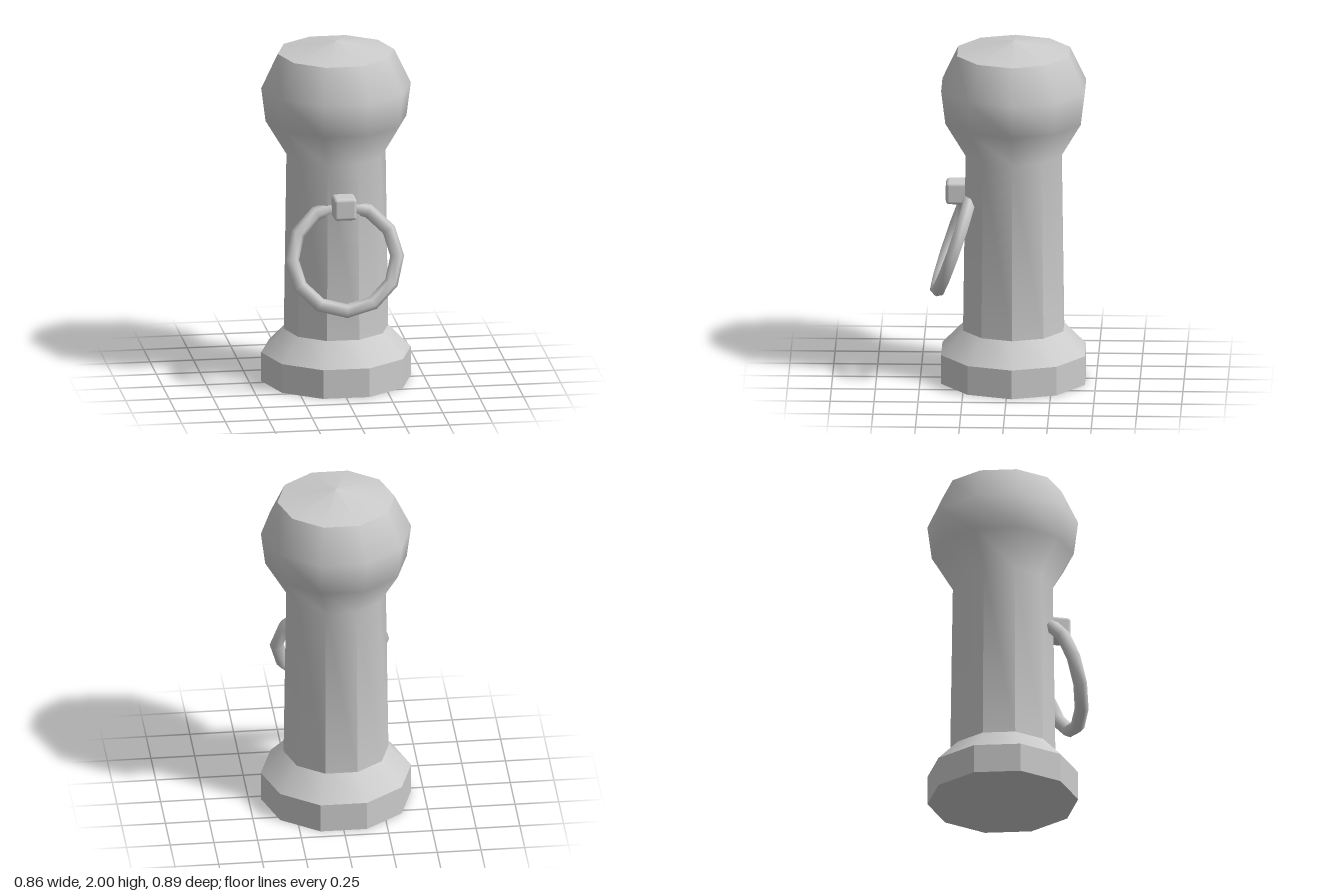
import * as THREE from 'three';
import { RoundedBoxGeometry } from 'three/addons/geometries/RoundedBoxGeometry.js';

const SIDES = 10;

// Ten-sided turned surface; profile is a list of [radius, height] from bottom to top
function turned(profile) {
  return new THREE.LatheGeometry(profile.map(([r, y]) => new THREE.Vector2(r, y)), SIDES, Math.PI / SIDES);
}

// Gives faceted normals to the vertices at or below the given height
function facetBelow(geometry, height) {
  const soft = geometry.toNonIndexed();
  const flat = soft.clone();
  flat.computeVertexNormals();
  const p = soft.attributes.position, n = soft.attributes.normal, f = flat.attributes.normal;
  for (let i = 0; i < p.count; i++) {
    if (p.getY(i) <= height) n.setXYZ(i, f.getX(i), f.getY(i), f.getZ(i));
  }
  return soft;
}

export function createModel() {
  const model = new THREE.Group();
  model.name = 'mooringPost';
  const grey = new THREE.MeshStandardMaterial({ color: 0xcccccc });
  grey.name = 'lightGrey';

  const add = (name, geometry, x, y, z) => {
    const mesh = new THREE.Mesh(geometry, grey);
    mesh.name = name;
    mesh.position.set(x, y, z);
    model.add(mesh);
    return mesh;
  };
  const postZ = -0.03;

  // Faceted foot with a smooth sloping shoulder
  add('foot', facetBelow(turned([[0, 0], [0.43, 0], [0.43, 0.17]]), 1), 0, 0, postZ);
  add('footShoulder', turned([[0.43, 0.17], [0.3, 0.305]]), 0, 0, postZ);

  // Shaft, faceted at its foot and blending smoothly into the swollen head
  const post = turned([[0.3, 0.305], [0.285, 1.34], [0.405, 1.54], [0.43, 1.735], [0.335, 1.935]]);
  add('shaftAndHead', facetBelow(post, 0.31), 0, 0, postZ);

  // Shallow pointed cap
  add('cap', turned([[0.335, 1.935], [0, 2]]), 0, 0, postZ);

  // Hanging ring, leaning out at the bottom, and the block that holds it
  const ring = add('ring', new THREE.TorusGeometry(0.302, 0.04, 6, 12), 0, 0.81, 0.31);
  ring.rotation.x = -0.33;
  add('ringBlock', new RoundedBoxGeometry(0.13, 0.13, 0.13, 2, 0.02), 0, 1.105, 0.29);

  return model;
}
